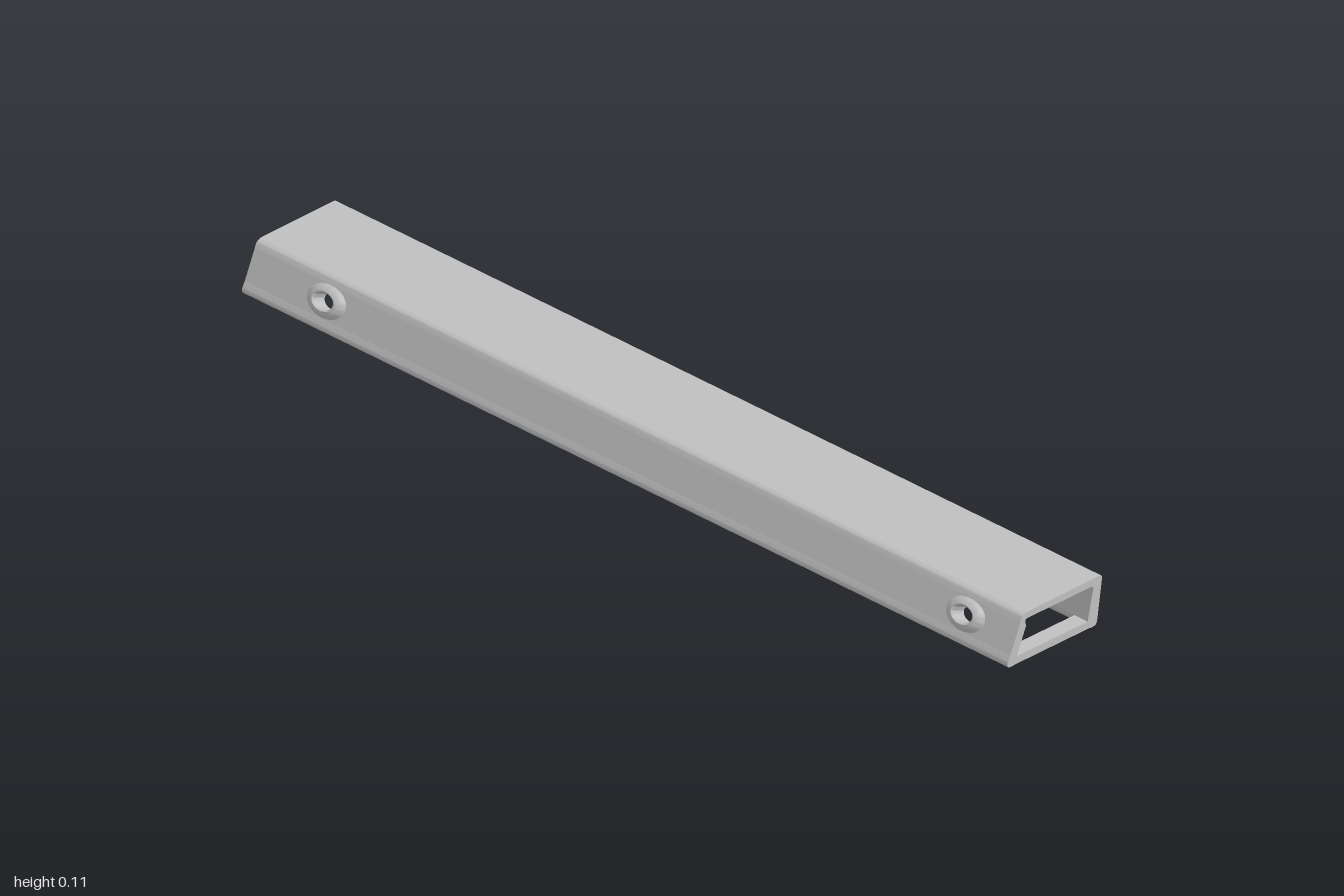
import * as THREE from 'three';
import { toCreasedNormals } from 'three/addons/utils/BufferGeometryUtils.js';

const metal = new THREE.MeshStandardMaterial({ color: 0xbfbfbf });
metal.name = 'light grey metal';

// Front wall: foot of its outer face, slope and thickness
const FOOT = { z: 0.131, y: 0.02 };
const TILT = Math.atan2(0.041, 0.09);
const T = 0.02;
// Point on the front wall: v up the slope, d outward from its face
const wall = (v, d) => [
  FOOT.z - v * Math.sin(TILT) + d * Math.cos(TILT),
  FOOT.y + v * Math.cos(TILT) + d * Math.sin(TILT),
];

// Closed section from [z, y, corner radius] points
function section(points) {
  const shape = new THREE.Shape();
  const n = points.length;
  const vec = (p) => new THREE.Vector2(-p[0], p[1]);
  points.forEach((p, i) => {
    const c = vec(p), r = p[2] || 0;
    const toward = (q) => {
      const d = vec(q).sub(c);
      return c.clone().add(d.setLength(Math.min(r, d.length() * 0.49)));
    };
    const a = toward(points[(i + n - 1) % n]);
    const b = toward(points[(i + 1) % n]);
    if (i === 0) shape.moveTo(a.x, a.y);
    else shape.lineTo(a.x, a.y);
    if (r) shape.quadraticCurveTo(c.x, c.y, b.x, b.y);
  });
  shape.closePath();
  return shape;
}

function mesh(name, geometry) {
  const m = new THREE.Mesh(toCreasedNormals(geometry, 0.7), metal);
  m.name = name;
  return m;
}

// Extrude a z-y section along x
function rail(name, points, x0, x1) {
  const g = new THREE.ExtrudeGeometry(section(points), {
    depth: x1 - x0, bevelEnabled: false, curveSegments: 6,
  });
  g.rotateY(Math.PI / 2).translate(x0, 0, 0);
  return mesh(name, g);
}

export function createModel() {
  const group = new THREE.Group();
  group.name = 'channelCover';

  // Top and back walls, with the turned-down upper front corner
  group.add(rail('topAndBackWall', [
    wall(0.08, 0),
    [0.089, 0.114, 0.014],
    [-0.131, 0.106, 0.009],
    [-0.115, 0.002, 0.008],
    [-0.095, 0.0, 0.008],
    [-0.09, 0.019, 0.006],
    [-0.107, 0.091, 0.008],
    [0.084, 0.1, 0.009],
    wall(0.08, -T),
  ], -1, 1));

  // Rounded lower lip of the front wall
  group.add(rail('frontLip', [
    wall(0.018, 0),
    [0.132, 0.022, 0.006],
    [0.13, 0.012, 0.006],
    [0.108, 0.011, 0.006],
    wall(0.018, -T),
  ], -1, 1));

  // Bar closing the underside at one end
  group.add(rail('endBridge', [
    [0.12, 0.012], [0.108, 0.028], [-0.098, 0.018], [-0.1, 0.002],
  ], 0.965, 1));

  // Sloping front wall with two oval screw holes
  const front = new THREE.Group();
  front.name = 'frontWall';
  front.position.set(0, FOOT.y, FOOT.z);
  front.rotation.x = -TILT;
  const holeXs = [-0.8, 0.87], holeV = 0.053;
  const plate = new THREE.Shape();
  plate.moveTo(-1, 0.018);
  plate.lineTo(1, 0.018);
  plate.lineTo(1, 0.08);
  plate.lineTo(-1, 0.08);
  plate.closePath();
  for (const x of holeXs) {
    const hole = new THREE.Path();
    hole.absellipse(x, holeV, 0.0255, 0.017, 0, Math.PI * 2, true);
    plate.holes.push(hole);
  }
  const plateGeo = new THREE.ExtrudeGeometry(plate, { depth: T, bevelEnabled: false, curveSegments: 24 });
  plateGeo.translate(0, 0, -T);
  front.add(mesh('frontPlate', plateGeo));

  // Raised oval boss lining each hole
  const bossProfile = [
    [0.034, -0.001], [0.029, 0.004], [0.023, 0.011], [0.019, 0.012],
    [0.016, 0.009], [0.016, -0.023], [0.019, -0.025], [0.023, -0.019],
  ].map(([r, h]) => new THREE.Vector2(r, h));
  for (const x of holeXs) {
    const g = new THREE.LatheGeometry(bossProfile, 32);
    g.rotateX(Math.PI / 2).scale(1.5, 1, 1).translate(x, holeV, 0);
    front.add(mesh('screwHoleBoss', g));
  }
  group.add(front);
  return group;
}
